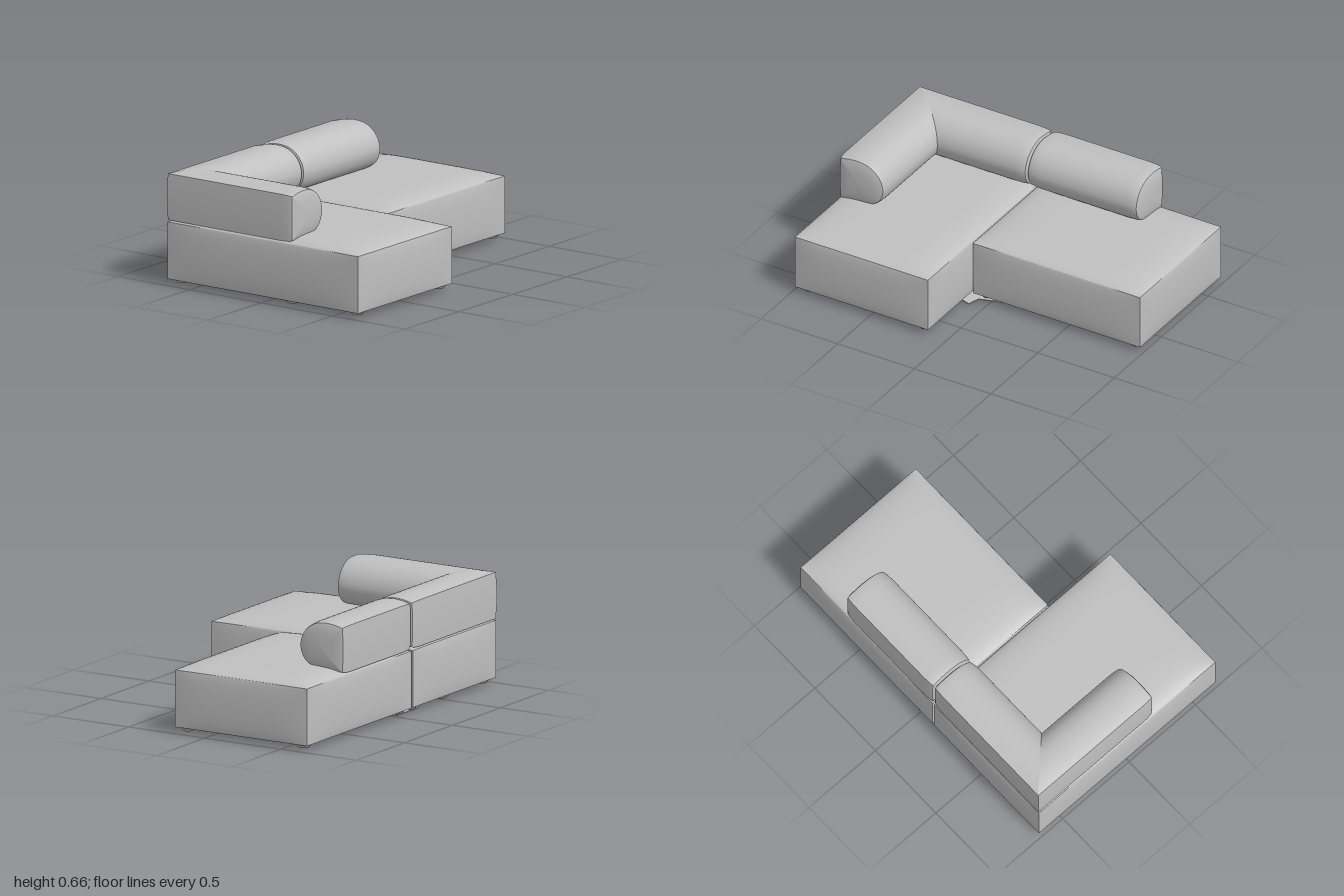
import * as THREE from 'three';

const fabric = new THREE.MeshStandardMaterial({ color: 0xc0c0c0 });
fabric.name = 'greyFabric';

function add(group, name, geometry) {
  const mesh = new THREE.Mesh(geometry, fabric);
  mesh.name = name;
  group.add(mesh);
  return mesh;
}

// Upholstered block: a box with a crowned top and softly bulging sides
function cushion(x0, x1, z0, z1, y0 = 0.035, y1 = 0.362) {
  const geo = new THREE.BoxGeometry(2, 2, 2, 24, 8, 24);
  const p = geo.attributes.position;
  const n = geo.attributes.normal;
  const ease = (v) => Math.sin((v * Math.PI) / 2); // packs rows near the edges
  const puff = (a, b) => Math.pow(Math.max(0, (1 - Math.abs(a) ** 6) * (1 - Math.abs(b) ** 6)), 0.75);
  for (let i = 0; i < p.count; i++) {
    const u = ease(p.getX(i)), v = ease(p.getY(i)), w = ease(p.getZ(i));
    const nx = n.getX(i), ny = n.getY(i), nz = n.getZ(i);
    const side = 0.013 * Math.pow(Math.max(0, 1 - v * v), 0.6);
    const x = (x0 + x1) / 2 + (u * (x1 - x0)) / 2 + nx * side * (1 - w ** 4);
    const z = (z0 + z1) / 2 + (w * (z1 - z0)) / 2 + nz * side * (1 - u ** 4);
    const y = (y0 + y1) / 2 + (v * (y1 - y0)) / 2 + ny * puff(u, w) * (ny > 0 ? 0.038 : 0.016);
    p.setXYZ(i, x, y, z);
  }
  geo.computeVertexNormals();
  return geo;
}

// Bolster section as [distance from back, height]; corners are doubled to stay sharp
const curve = new THREE.SplineCurve([
  [0, 0.638], [0.05, 0.65], [0.115, 0.656], [0.18, 0.647], [0.235, 0.618], [0.275, 0.57],
  [0.292, 0.51], [0.282, 0.455], [0.255, 0.415], [0.215, 0.392], [0.17, 0.38],
].map(([t, y]) => new THREE.Vector2(t, y))).getPoints(40);
const V = (t, y) => new THREE.Vector2(t, y);
const section = [V(0, 0.372), V(-0.004, 0.45), V(-0.004, 0.56), V(0, 0.638), ...curve, V(0, 0.372)];
const centre = V(0.14, 0.51);

// Sweeps the section from s = 0 (mitred or capped) to s = length (capped)
function bolster(length, mitred, place, flip) {
  const end = [[-0.07, 1], [-0.03, 0.985], [-0.008, 0.965], [0, 0.945], [0, 0.945], [0.008, 0.8], [0.014, 0.5], [0.016, 0.001]];
  const stations = end.map(([s, k]) => [length + s, k]);
  if (mitred) stations.unshift([null, 1]);
  else stations.unshift(...end.map(([s, k]) => [-s, k]).reverse());

  const pos = [], index = [], m = section.length;
  stations.forEach(([s, k]) => section.forEach((q) => {
    const t = centre.x + (q.x - centre.x) * k;
    const y = centre.y + (q.y - centre.y) * k;
    pos.push(...place(s === null ? t : s, t, y));
  }));
  for (let i = 0; i < stations.length - 1; i++) {
    for (let j = 0; j < m - 1; j++) {
      const a = i * m + j, b = a + 1, c = a + m, d = c + 1;
      if (flip) index.push(a, c, b, b, c, d);
      else index.push(a, b, c, b, d, c);
    }
  }
  const geo = new THREE.BufferGeometry();
  geo.setAttribute('position', new THREE.Float32BufferAttribute(pos, 3));
  geo.setIndex(index);
  geo.computeVertexNormals();
  return geo;
}

export function createModel() {
  const sofa = new THREE.Group();
  sofa.name = 'cornerSofa';

  // Seat blocks
  add(sofa, 'chaiseSeat', cushion(-0.985, -0.117, -0.665, 0.663));
  add(sofa, 'wideSeat', cushion(-0.105, 0.985, -0.665, 0.203));

  // Back and arm bolsters, the first two mitred at the corner
  add(sofa, 'cornerBackBolster', bolster(0.86, true, (s, t, y) => [-0.98 + s, y, -0.665 + t], false));
  add(sofa, 'armBolster', bolster(0.86, true, (s, t, y) => [-0.98 + t, y, -0.665 + s], true));
  add(sofa, 'backBolster', bolster(0.705, false, (s, t, y) => [-0.101 + s, y, -0.665 + t], false));

  // Low rounded feet
  const feet = [
    [-0.92, 0.61], [-0.17, 0.61], [-0.92, 0.16], [-0.92, -0.61], [-0.5, -0.61],
    [-0.17, -0.61], [-0.04, -0.61], [-0.04, 0.15], [0.93, 0.15], [0.93, -0.61],
  ];
  const footGeo = new THREE.CylinderGeometry(0.045, 0.028, 0.02, 20);
  feet.forEach(([x, z]) => {
    const foot = add(sofa, 'foot', footGeo);
    foot.position.set(x, 0.022, z);
    if (x === -0.5) foot.scale.x = 1.6;
  });

  // Thin irregular floor sheet underneath
  const outline = [
    [0.27, -0.49], [0.13, -0.5], [0.01, -0.53], [-0.04, -0.62], [-0.23, -0.62], [-0.34, -0.58],
    [-0.52, -0.5], [-0.52, 0.28], [-0.4, 0.23], [-0.27, 0.28], [-0.16, 0.25], [-0.09, 0.27],
    [-0.07, 0.2], [0.08, 0.15], [0.2, 0.14], [0.28, 0.09],
  ];
  const shape = new THREE.Shape(outline.map(([x, z]) => new THREE.Vector2(x, -z)));
  const sheet = new THREE.ExtrudeGeometry(shape, { depth: 0.006, bevelEnabled: false });
  sheet.rotateX(-Math.PI / 2);
  add(sofa, 'floorSheet', sheet);

  return sofa;
}
